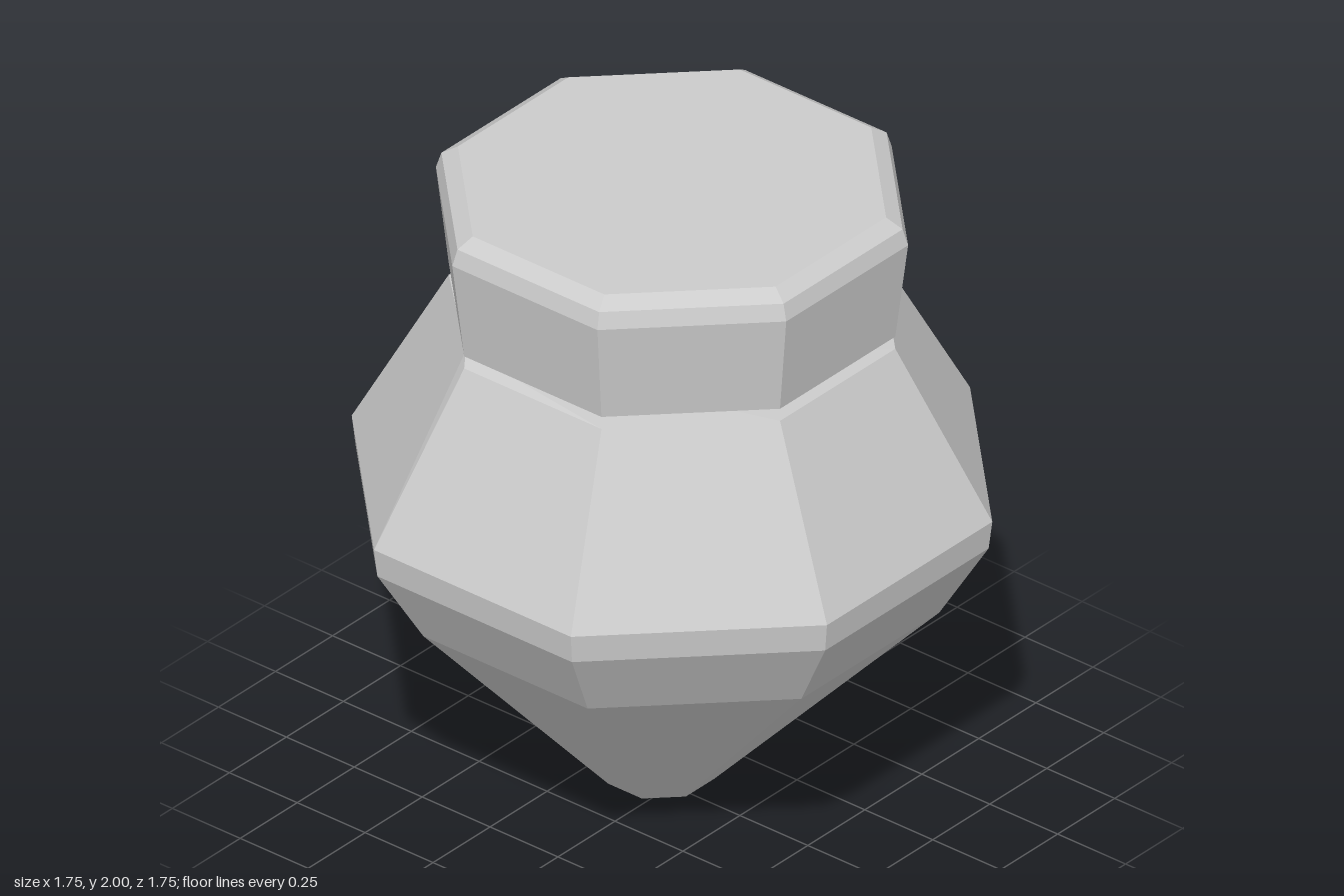
import * as THREE from 'three';
import { ConvexGeometry } from 'three/addons/geometries/ConvexGeometry.js';

// Octagonal ring with flat sides facing the axes; a = centre-to-side distance
function ring(y, a, cx = 0, cz = 0) {
  const points = [];
  const r = a / Math.cos(Math.PI / 8);
  for (let i = 0; i < 8; i++) {
    const t = (i + 0.5) * Math.PI / 4;
    points.push(new THREE.Vector3(cx + r * Math.cos(t), y, cz + r * Math.sin(t)));
  }
  return points;
}

export function createModel() {
  const group = new THREE.Group();
  const material = new THREE.MeshStandardMaterial({ color: 0xcccccc, flatShading: true });

  const add = (name, points) => {
    const mesh = new THREE.Mesh(new ConvexGeometry(points), material);
    mesh.name = name;
    group.add(mesh);
  };

  // Faceted body: small uneven tip, chamfered belly and a shoulder narrowing to the neck
  const neck = ring(1.57, 0.61);
  neck[2].set(-0.28, 1.6, 0.57); // one neck corner stands slightly proud
  add('body', [
    new THREE.Vector3(-0.01, 0, 0),
    ...ring(0.05, 0.15, -0.03, 0.02),
    ...ring(0.72, 0.73),
    ...ring(0.96, 0.865),
    ...ring(1.05, 0.875),
    ...neck,
    new THREE.Vector3(-0.253, 1.57, 0.61),
  ]);

  // Separate lid, flaring upward to a bevelled top edge
  add('lid', [
    ...ring(1.61, 0.61),
    ...ring(1.92, 0.645),
    ...ring(1.97, 0.63),
    ...ring(2, 0.585),
  ]);

  return group;
}
